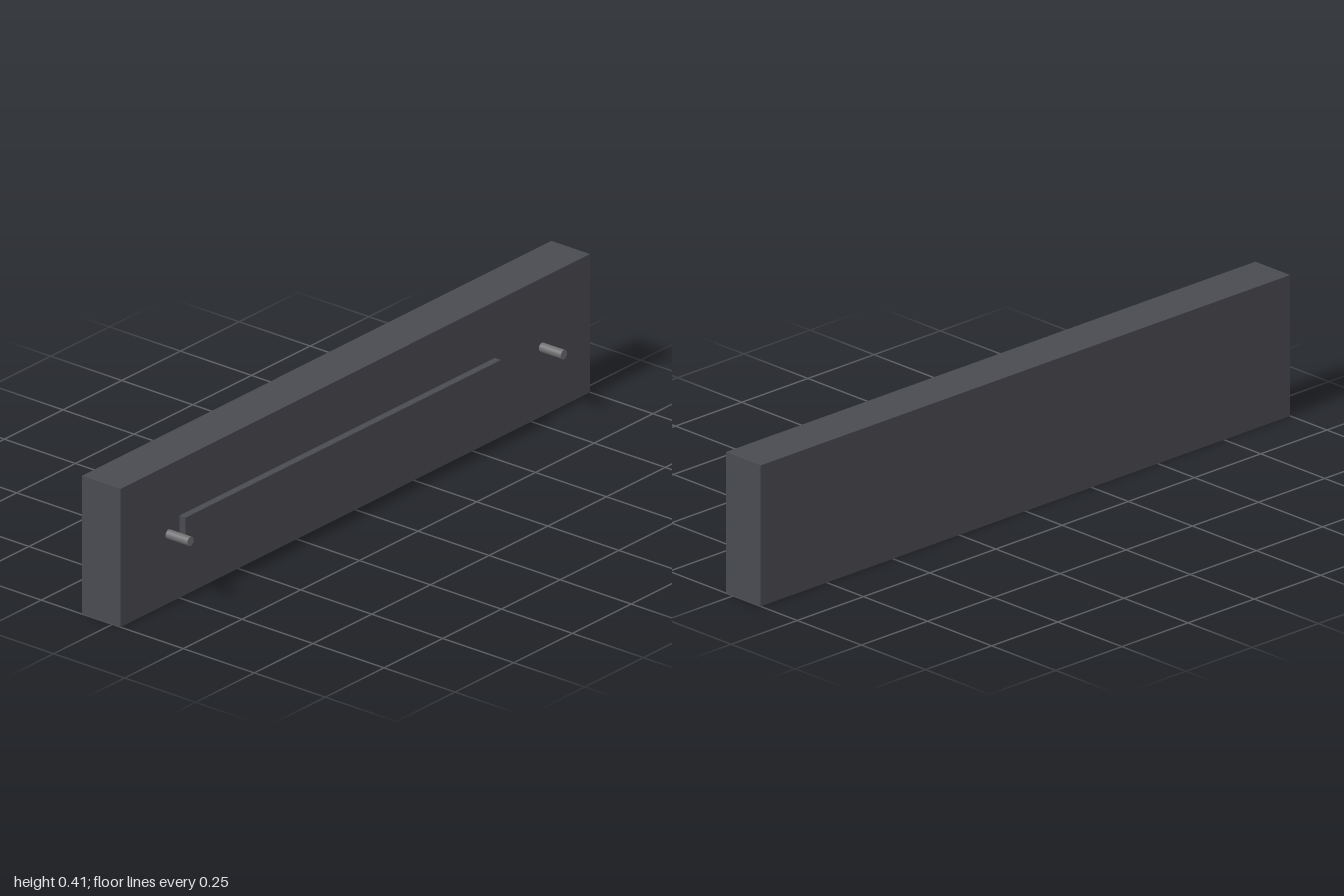
import * as THREE from 'three';

const bodyMaterial = new THREE.MeshStandardMaterial({ color: 0x4a4a52 });
const pinMaterial = new THREE.MeshStandardMaterial({ color: 0x707072 });

// Box given by its extents along each axis
function box(name, [x0, x1], [y0, y1], [z0, z1]) {
  const mesh = new THREE.Mesh(new THREE.BoxGeometry(x1 - x0, y1 - y0, z1 - z0), bodyMaterial);
  mesh.position.set((x0 + x1) / 2, (y0 + y1) / 2, (z0 + z1) / 2);
  mesh.name = name;
  return mesh;
}

export function createModel() {
  const model = new THREE.Group();
  model.name = 'wallUnit';

  // Long slab and the slim panel standing just off its side
  model.add(box('body', [-0.107, 0.029], [0, 0.412], [-1, 1]));
  model.add(box('panel', [0.032, 0.054], [0.166, 0.247], [-0.59, 0.753]));

  // Round pins near both ends
  const pinGeometry = new THREE.CylinderGeometry(0.0135, 0.0135, 0.078, 24).rotateZ(-Math.PI / 2);
  for (const [name, z] of [['frontPin', 0.795], ['backPin', -0.795]]) {
    const pin = new THREE.Mesh(pinGeometry, pinMaterial);
    pin.position.set(0.067, 0.206, z);
    pin.name = name;
    model.add(pin);
  }
  return model;
}
